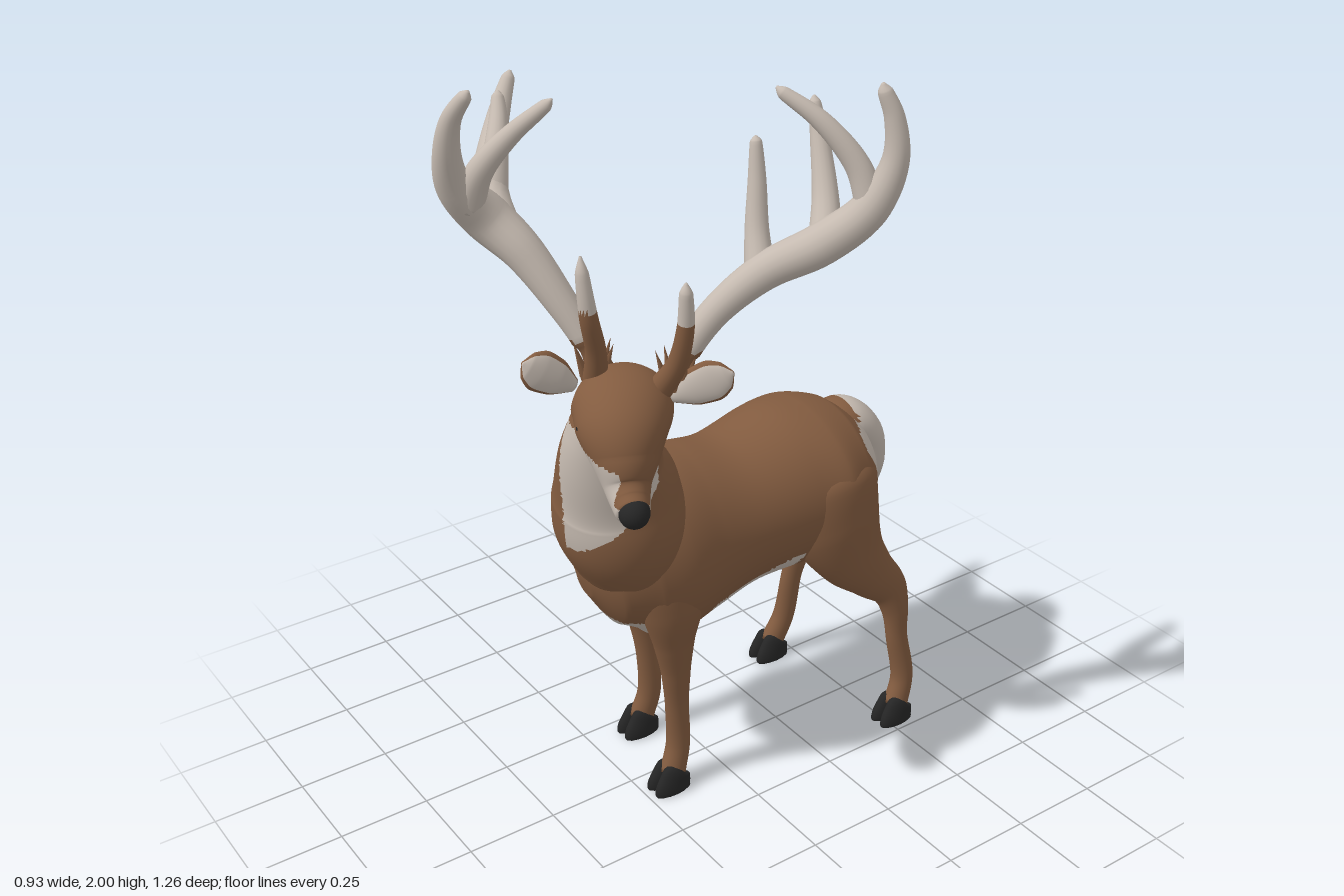
import * as THREE from 'three';

const mat = (name, color) => Object.assign(new THREE.MeshStandardMaterial({ color }), { name });
const V = (x, y, z) => new THREE.Vector3(x, y, z);
const X = V(1, 0, 0), Y = V(0, 1, 0);
const FACING = V(0.88, 0, 0.47);      // where the turned head looks
const SIDE = V(0.47, 0, -0.88);       // the head's own left

export function createModel() {
  const brown = mat('brownCoat', 0x835c40);
  const pale = mat('paleFurAndAntler', 0xc6bbb1);
  const black = mat('blackHoofAndNose', 0x262626);
  const coat = [brown, pale];
  const root = new THREE.Group();
  root.name = 'deer';

  // Smooth loft through elliptical sections [x, y, z, radius along hint, other radius].
  // pick(x, y, z, angle) returns true where the second material is used.
  function loft(name, rows, { hint = X, materials = coat, pick = () => false, seg = 20, steps = 8, parent = root } = {}) {
    const path = new THREE.CatmullRomCurve3(rows.map(r => V(r[0], r[1], r[2])));
    const size = new THREE.CatmullRomCurve3(rows.map(r => V(r[3], r[4] ?? r[3], 0)));
    const n = (rows.length - 1) * steps;
    const pos = [], lists = [[], []];
    for (let i = 0; i <= n; i++) {
      const c = path.getPoint(i / n), r = size.getPoint(i / n), t = path.getTangent(i / n);
      const s = hint.clone().addScaledVector(t, -hint.dot(t)).normalize();
      const u = t.clone().cross(s);
      for (let j = 0; j < seg; j++) {
        const a = (j / seg) * Math.PI * 2;
        const p = c.clone().addScaledVector(s, Math.max(r.x, 0.002) * Math.cos(a))
          .addScaledVector(u, Math.max(r.y, 0.002) * Math.sin(a));
        pos.push(p.x, p.y, p.z);
      }
    }
    const first = rows[0], last = rows[rows.length - 1];
    pos.push(first[0], first[1], first[2], last[0], last[1], last[2]);
    const tri = (a, b, c, ang) => {
      const m = k => (pos[a * 3 + k] + pos[b * 3 + k] + pos[c * 3 + k]) / 3;
      lists[pick(m(0), m(1), m(2), ang) ? 1 : 0].push(a, b, c);
    };
    const end = (n + 1) * seg;
    for (let j = 0; j < seg; j++) {
      const k = (j + 1) % seg, ang = ((j + 0.5) / seg) * Math.PI * 2;
      for (let i = 0; i < n; i++) {
        const a = i * seg + j, b = i * seg + k;
        tri(a, b, b + seg, ang);
        tri(a, b + seg, a + seg, ang);
      }
      tri(end, k, j, ang);
      tri(end + 1, n * seg + j, n * seg + k, ang);
    }
    const g = new THREE.BufferGeometry();
    g.setAttribute('position', new THREE.Float32BufferAttribute(pos, 3));
    g.setIndex([...lists[0], ...lists[1]]);
    g.addGroup(0, lists[0].length, 0);
    g.addGroup(lists[0].length, lists[1].length, 1);
    g.computeVertexNormals();
    const mesh = new THREE.Mesh(g, materials);
    mesh.name = name;
    parent.add(mesh);
  }

  function ball(name, x, y, z, r, sy = 1) {
    const m = new THREE.Mesh(new THREE.SphereGeometry(r, 20, 14), black);
    m.name = name;
    m.position.set(x, y, z);
    m.scale.y = sy;
    root.add(m);
  }

  // Torso, with pale belly and rump
  const rump = (x, y, z) => {
    const d = Math.abs(x + 0.05);
    return d < (y > 0.68 ? 0.17 : 0.13) &&
      z < (y < 0.63 ? -0.4 : -0.45 - (y > 0.9 ? 0.055 * (1 - d / 0.17) : 0));
  };
  const belly = (x, y, z) => (z > -0.23 && z < 0.1 && y < 0.57 - z * 0.3 - Math.max(0, z - 0.04) * 1.2) ||
    (z >= 0.1 && z < 0.34 && y < 0.56 && Math.abs(x + 0.025) < 0.1);
  loft('torso', [
    [-0.05, 0.77, -0.535, 0.02, 0.03], [-0.05, 0.77, -0.512, 0.14, 0.13], [-0.05, 0.766, -0.45, 0.205, 0.19],
    [-0.052, 0.76, -0.36, 0.242, 0.222], [-0.05, 0.752, -0.27, 0.225, 0.232], [-0.046, 0.734, -0.1, 0.203, 0.218],
    [-0.045, 0.721, 0.03, 0.2, 0.248], [-0.04, 0.712, 0.14, 0.205, 0.268], [-0.035, 0.7, 0.24, 0.185, 0.236],
    [-0.03, 0.68, 0.32, 0.13, 0.155], [-0.03, 0.67, 0.36, 0.03, 0.04],
  ], { seg: 96, steps: 12, pick: (x, y, z) => rump(x, y, z) || belly(x, y, z) });

  // Neck with pale throat
  loft('neck', [
    [-0.04, 0.56, 0.22, 0.06, 0.06], [-0.03, 0.71, 0.235, 0.155, 0.13], [0, 0.85, 0.265, 0.174, 0.168],
    [0.015, 0.95, 0.285, 0.157, 0.162], [0.045, 1.05, 0.317, 0.128, 0.132], [0.08, 1.15, 0.322, 0.104, 0.122],
    [0.115, 1.24, 0.315, 0.09, 0.105], [0.13, 1.29, 0.31, 0.04, 0.05],
  ], { seg: 80, steps: 12, pick: (x, y, z) => x > 0.02 && y > 0.83 && y < 1.19 && z > Math.max(0.245, 0.42 - (y - 0.84)) });

  // Head turned to its left, with pale cheeks, chin and muzzle
  const cheek = (x, y, z) => (x - 0.14) * 0.47 < (z - 0.34) * 0.88
    ? x > 0.025 && y < 1.19 - (x - 0.05) * 0.22
    : y < 1.2 - (z - 0.24);
  const muzzle = (x, y) => x > 0.235 && y < 1.13;
  const bridge = (x, y) => x > 0.262 && y > 1.065;
  loft('head', [
    [0.025, 1.25, 0.29, 0.02, 0.02], [0.06, 1.24, 0.305, 0.095, 0.08], [0.12, 1.235, 0.325, 0.122, 0.095],
    [0.168, 1.2, 0.355, 0.112, 0.102], [0.203, 1.14, 0.372, 0.084, 0.088], [0.232, 1.085, 0.386, 0.057, 0.062],
    [0.262, 1.06, 0.398, 0.047, 0.052], [0.286, 1.048, 0.407, 0.041, 0.044], [0.303, 1.04, 0.414, 0.015, 0.015],
  ], { hint: SIDE, seg: 56, steps: 10, pick: (x, y, z) => !bridge(x, y) && (cheek(x, y, z) || muzzle(x, y)) });
  ball('nose', 0.292, 1.05, 0.408, 0.038, 1.05);
  ball('rightEye', 0.133, 1.215, 0.45, 0.01);
  ball('leftEye', 0.224, 1.215, 0.275, 0.01);

  // Ears: flat leaves, pale inside a brown rim
  const ear = (name, a, b, front) => {
    const at = k => a.map((v, i) => v + (b[i] - v) * k);
    loft(name, [
      [...at(0), 0.018, 0.016], [...at(0.35), 0.046, 0.022], [...at(0.65), 0.052, 0.02],
      [...at(0.88), 0.036, 0.014], [...at(1), 0.005, 0.004],
    ], { hint: Y, seg: 32, pick: (x, y, z, ang) => Math.sin(ang) * front > 0.62 });
  };
  ear('leftEar', [0.19, 1.26, 0.23], [0.297, 1.335, 0.13], 1);
  ear('rightEar', [0.025, 1.27, 0.4], [0.008, 1.355, 0.525], -1);

  // Antlers: main beam, upper tines and short brow tines with furred bases
  const tine = (name, rows, furTop = 0) =>
    loft(name, rows, { hint: FACING, seg: 16, steps: 7, pick: (x, y) => y > furTop });
  tine('leftAntlerBeam', [
    [0.18, 1.29, 0.23, 0.034], [0.19, 1.37, 0.185, 0.034], [0.215, 1.46, 0.12, 0.037], [0.265, 1.55, 0.02, 0.044],
    [0.335, 1.615, -0.09, 0.05], [0.405, 1.705, -0.17, 0.045], [0.438, 1.82, -0.21, 0.032],
    [0.433, 1.92, -0.205, 0.024], [0.42, 1.98, -0.185, 0.017], [0.418, 1.998, -0.18, 0.004],
  ], 1.37);
  tine('leftUpperTine', [[0.405, 1.7, -0.175, 0.036], [0.375, 1.8, -0.155, 0.03], [0.315, 1.9, -0.095, 0.023],
    [0.25, 1.96, -0.035, 0.015], [0.237, 1.972, -0.025, 0.003]]);
  tine('leftMiddleTine', [[0.335, 1.6, -0.1, 0.042], [0.275, 1.7, -0.145, 0.032], [0.22, 1.82, -0.168, 0.023],
    [0.193, 1.9, -0.172, 0.014], [0.19, 1.915, -0.172, 0.003]]);
  tine('leftLowerTine', [[0.25, 1.53, 0.02, 0.038], [0.207, 1.63, 0, 0.029], [0.185, 1.74, -0.015, 0.022],
    [0.172, 1.83, -0.02, 0.014], [0.17, 1.842, -0.02, 0.003]]);
  tine('leftBrowTine', [[0.175, 1.28, 0.25, 0.032], [0.225, 1.36, 0.238, 0.025], [0.255, 1.46, 0.235, 0.021],
    [0.265, 1.55, 0.24, 0.016], [0.265, 1.575, 0.24, 0.003]], 1.47);
  tine('rightAntlerBeam', [
    [0.03, 1.29, 0.325, 0.034], [0, 1.37, 0.35, 0.034], [-0.05, 1.46, 0.385, 0.04], [-0.125, 1.57, 0.435, 0.05],
    [-0.19, 1.645, 0.49, 0.058], [-0.185, 1.73, 0.565, 0.045], [-0.155, 1.82, 0.598, 0.034],
    [-0.115, 1.92, 0.603, 0.024], [-0.075, 1.98, 0.585, 0.016], [-0.068, 1.993, 0.58, 0.004],
  ], 1.37);
  tine('rightUpperTine', [[-0.185, 1.69, 0.54, 0.042], [-0.14, 1.78, 0.525, 0.032], [-0.085, 1.87, 0.47, 0.023],
    [-0.03, 1.94, 0.41, 0.015], [-0.02, 1.955, 0.4, 0.003]]);
  tine('rightOuterTine', [[-0.17, 1.62, 0.47, 0.052], [-0.29, 1.67, 0.425, 0.046], [-0.38, 1.75, 0.358, 0.034],
    [-0.428, 1.83, 0.302, 0.024], [-0.444, 1.88, 0.272, 0.016], [-0.446, 1.895, 0.265, 0.003]]);
  tine('rightInnerTine', [[-0.27, 1.65, 0.43, 0.04], [-0.31, 1.75, 0.39, 0.03], [-0.353, 1.82, 0.355, 0.022],
    [-0.378, 1.86, 0.34, 0.015], [-0.384, 1.872, 0.335, 0.003]]);
  tine('rightBrowTine', [[0.06, 1.28, 0.36, 0.032], [0.095, 1.38, 0.378, 0.025], [0.118, 1.48, 0.408, 0.022],
    [0.115, 1.59, 0.42, 0.016], [0.11, 1.63, 0.42, 0.003]], 1.5);

  // Fur tufts around the antler roots
  for (const [x, z, side] of [[0.185, 0.215, 'left'], [0.03, 0.345, 'right']]) {
    for (let i = 0; i < 8; i++) {
      const a = (i / 8) * Math.PI * 2;
      const tuft = new THREE.Mesh(new THREE.ConeGeometry(0.014, 0.09, 6), brown);
      tuft.name = side + 'FurTuft';
      tuft.position.set(x + 0.036 * Math.cos(a), 1.325, z + 0.036 * Math.sin(a));
      tuft.rotation.set(0.3 * Math.sin(a), 0, -0.3 * Math.cos(a));
      root.add(tuft);
    }
  }

  // Tail, brown where it leaves the back
  loft('tail', [[-0.055, 0.86, -0.43, 0.07, 0.06], [-0.055, 0.87, -0.5, 0.085, 0.07],
    [-0.055, 0.825, -0.56, 0.085, 0.06], [-0.055, 0.735, -0.585, 0.074, 0.047],
    [-0.055, 0.655, -0.588, 0.044, 0.028], [-0.055, 0.63, -0.588, 0.006, 0.006]],
  { seg: 32, pick: (x, y, z) => z < -0.5 || y < 0.88 });

  // Legs: the right ones mirror the left and step to another z towards the hoof
  const front = [[0.06, 0.8, 0.17, 0.05, 0.07], [0.075, 0.7, 0.17, 0.075, 0.11], [0.088, 0.58, 0.165, 0.062, 0.088],
    [0.085, 0.48, 0.16, 0.045, 0.06], [0.08, 0.38, 0.152, 0.033, 0.043], [0.073, 0.25, 0.145, 0.027, 0.034],
    [0.073, 0.13, 0.143, 0.029, 0.035], [0.08, 0.05, 0.165, 0.031, 0.038]];
  const rear = [[0.04, 0.88, -0.34, 0.06, 0.07], [0.07, 0.78, -0.345, 0.12, 0.15], [0.1, 0.67, -0.36, 0.1, 0.138],
    [0.125, 0.57, -0.4, 0.07, 0.105], [0.145, 0.495, -0.457, 0.05, 0.075], [0.158, 0.43, -0.515, 0.039, 0.056],
    [0.168, 0.36, -0.535, 0.031, 0.042], [0.176, 0.27, -0.54, 0.026, 0.033], [0.188, 0.13, -0.558, 0.029, 0.034],
    [0.195, 0.05, -0.535, 0.031, 0.038]];
  const toe = [[0.066, -0.006, 0.012, 0.02], [0.058, 0, 0.021, 0.042], [0.03, 0.008, 0.024, 0.052],
    [0.008, 0.014, 0.024, 0.056], [0, 0.014, 0.022, 0.052]];
  function leg(name, rows, place = p => p) {
    const g = new THREE.Group();
    g.name = name;
    root.add(g);
    const placed = rows.map(([x, y, z, a, b]) => [...place([x, y, z]), a, b]);
    loft(name + 'Limb', placed, { seg: 32, parent: g, pick: (x, y, z) => y > 0.6 && rump(x, y, z) });
    const [fx, , fz] = placed[placed.length - 1];
    for (const d of [-1, 1]) {
      loft(name + 'Hoof', toe.map(([y, dz, a, b]) => [fx + d * (0.017 + dz * 0.2), y, fz + dz, a, b]),
        { materials: [black, black], seg: 14, steps: 3, parent: g });
    }
  }
  const ramp = (y, high, low) => THREE.MathUtils.clamp((high - y) / (high - low), 0, 1);
  leg('leftFrontLeg', front);
  leg('rightFrontLeg', front, ([x, y, z]) => [-0.1 - x, y, z - 0.07 * ramp(y, 0.75, 0.35)]);
  leg('leftRearLeg', rear);
  leg('rightRearLeg', rear, ([x, y, z]) => [-0.104 + 0.036 * ramp(y, 0.55, 0.35) - x, y, z + 0.1 * ramp(y, 0.48, 0.08)]);

  return root;
}
